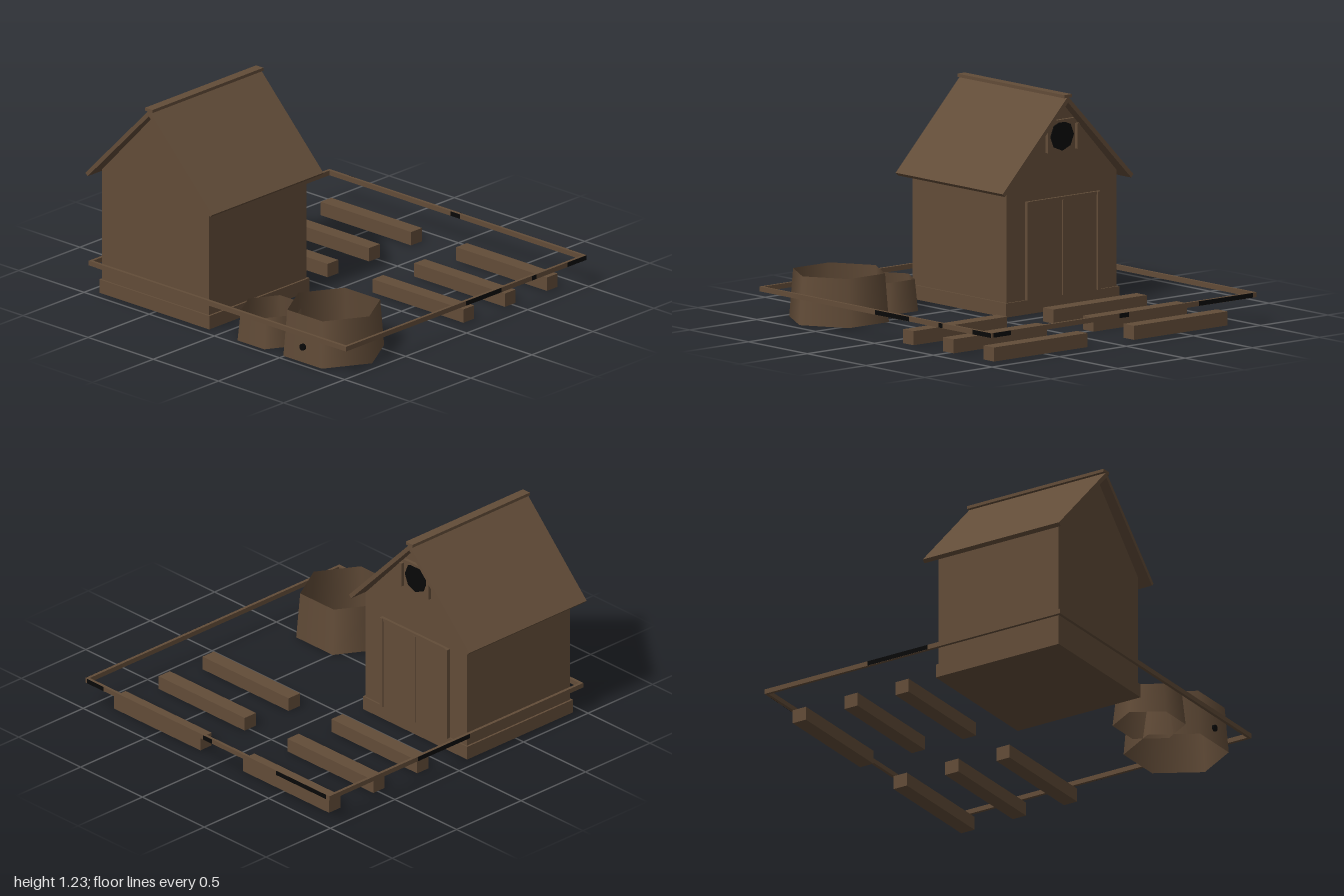
import * as THREE from 'three';

export function createModel() {
  const model = new THREE.Group();
  model.name = 'smallFarmyard';

  const wood = new THREE.MeshStandardMaterial({ color: 0x624c38 });
  wood.name = 'brown wood';
  const openWood = new THREE.MeshStandardMaterial({ color: 0x624c38, side: THREE.DoubleSide });
  openWood.name = 'brown wood, open';
  const black = new THREE.MeshStandardMaterial({ color: 0x080808 });
  black.name = 'black';

  function add(parent, name, geometry, material) {
    const mesh = new THREE.Mesh(geometry, material);
    mesh.name = name;
    parent.add(mesh);
    return mesh;
  }

  // Box given by its low and high limits on each axis
  function box(parent, name, x0, x1, y0, y1, z0, z1, material = wood) {
    const mesh = add(parent, name, new THREE.BoxGeometry(x1 - x0, y1 - y0, z1 - z0), material);
    mesh.position.set((x0 + x1) / 2, (y0 + y1) / 2, (z0 + z1) / 2);
    return mesh;
  }

  // Outline in x and y, drawn out from z0 to z1
  function prism(parent, name, points, z0, z1) {
    const shape = new THREE.Shape(points.map(([x, y]) => new THREE.Vector2(x, y)));
    const geometry = new THREE.ExtrudeGeometry(shape, { depth: z1 - z0, bevelEnabled: false });
    const mesh = add(parent, name, geometry, wood);
    mesh.position.z = z0;
    return mesh;
  }

  // Barn, built around its own middle line
  const barn = new THREE.Group();
  barn.name = 'barn';
  barn.position.x = -0.512;
  model.add(barn);

  box(barn, 'barnBase', -0.422, 0.422, 0, 0.08, 0.125, 0.945);
  prism(barn, 'barnWalls',
    [[-0.41, 0.08], [0.41, 0.08], [0.41, 0.74], [0, 1.175], [-0.41, 0.74]], 0.135, 0.935);
  prism(barn, 'rightRoof', [[0, 1.215], [-0.487, 0.715], [-0.47, 0.698], [0, 1.18]], 0.08, 0.99);
  prism(barn, 'leftRoof', [[0, 1.215], [0, 1.18], [0.47, 0.698], [0.487, 0.715]], 0.08, 0.99);
  box(barn, 'ridgeCap', -0.028, 0.028, 1.207, 1.225, 0.08, 0.99);

  // Double door and hayloft opening on the back gable
  for (const side of [-1, 1]) {
    const leaf = box(barn, 'doorLeaf', -0.122, 0.122, 0.08, 0.625, 0.122, 0.14);
    leaf.position.x = side * 0.129;
    const post = box(barn, 'doorPost', -0.012, 0.012, 0.08, 0.64, 0.112, 0.14);
    post.position.x = side * 0.262;
    const jamb = box(barn, 'loftJamb', -0.01, 0.01, 0.9, 1.045, 0.115, 0.14);
    jamb.position.x = side * 0.11;
  }
  box(barn, 'doorLintel', -0.274, 0.274, 0.622, 0.64, 0.118, 0.14);
  box(barn, 'doorMiddle', -0.008, 0.008, 0.08, 0.625, 0.116, 0.14);
  box(barn, 'loftLintel', -0.08, 0.08, 1.065, 1.08, 0.115, 0.14);
  const loft = add(barn, 'loftOpening', new THREE.CylinderGeometry(0.085, 0.085, 0.008, 8), black);
  loft.rotation.x = Math.PI / 2;
  loft.position.set(0, 0.985, 0.131);

  // Fence rails round the yard
  const fence = new THREE.Group();
  fence.name = 'fence';
  model.add(fence);
  box(fence, 'frontRail', -0.98, 0.995, 0.162, 0.19, 0.965, 0.983);
  box(fence, 'backRail', -0.98, 0.995, 0.162, 0.19, -0.988, -0.97);
  box(fence, 'rightRail', -0.98, -0.962, 0.162, 0.19, -0.97, 0.965);
  box(fence, 'leftRail', 0.977, 0.995, 0.162, 0.19, -0.97, 0.965);

  // Dark patches on the outer faces of the rails
  for (const [z0, z1] of [[-0.29, 0], [-0.575, -0.54], [-0.985, -0.83]]) {
    box(fence, 'leftRailPatch', 0.994, 0.997, 0.163, 0.189, z0, z1, black);
  }
  box(fence, 'rightRailPatch', -0.982, -0.979, 0.163, 0.189, -0.3, 0.1, black);
  for (const [x0, x1] of [[-0.95, -0.55], [-0.03, 0.04], [0.85, 0.98]]) {
    box(fence, 'backRailPatch', x0, x1, 0.163, 0.189, -0.99, -0.987, black);
  }
  box(fence, 'backRailInnerPatch', -0.03, 0.04, 0.163, 0.189, -0.971, -0.968, black);

  // Two columns of three timber beams
  for (const z of [-0.833, -0.489, -0.148]) {
    for (const [x0, x1] of [[-0.86, -0.165], [0.18, 0.877]]) {
      box(model, 'timberBeam', x0, x1, 0, 0.08, z - 0.044, z + 0.044);
    }
  }

  // Six-sided open tubs with corners to left and right
  function tub(name, x, z, top, bottom, height) {
    const geometry = new THREE.CylinderGeometry(top, bottom, height, 6, 1, true, Math.PI / 2);
    const mesh = add(model, name, geometry, openWood);
    mesh.position.set(x, height / 2, z);
  }
  tub('largeTub', 0.643, 0.708, 0.272, 0.295, 0.275);
  tub('smallTub', 0.245, 0.785, 0.185, 0.205, 0.18);

  // Spout hole through the front of the large tub
  const hole = add(model, 'tubHole', new THREE.CylinderGeometry(0.019, 0.019, 0.03, 12), black);
  hole.rotation.x = Math.PI / 2;
  hole.position.set(0.645, 0.092, 0.957);

  return model;
}
